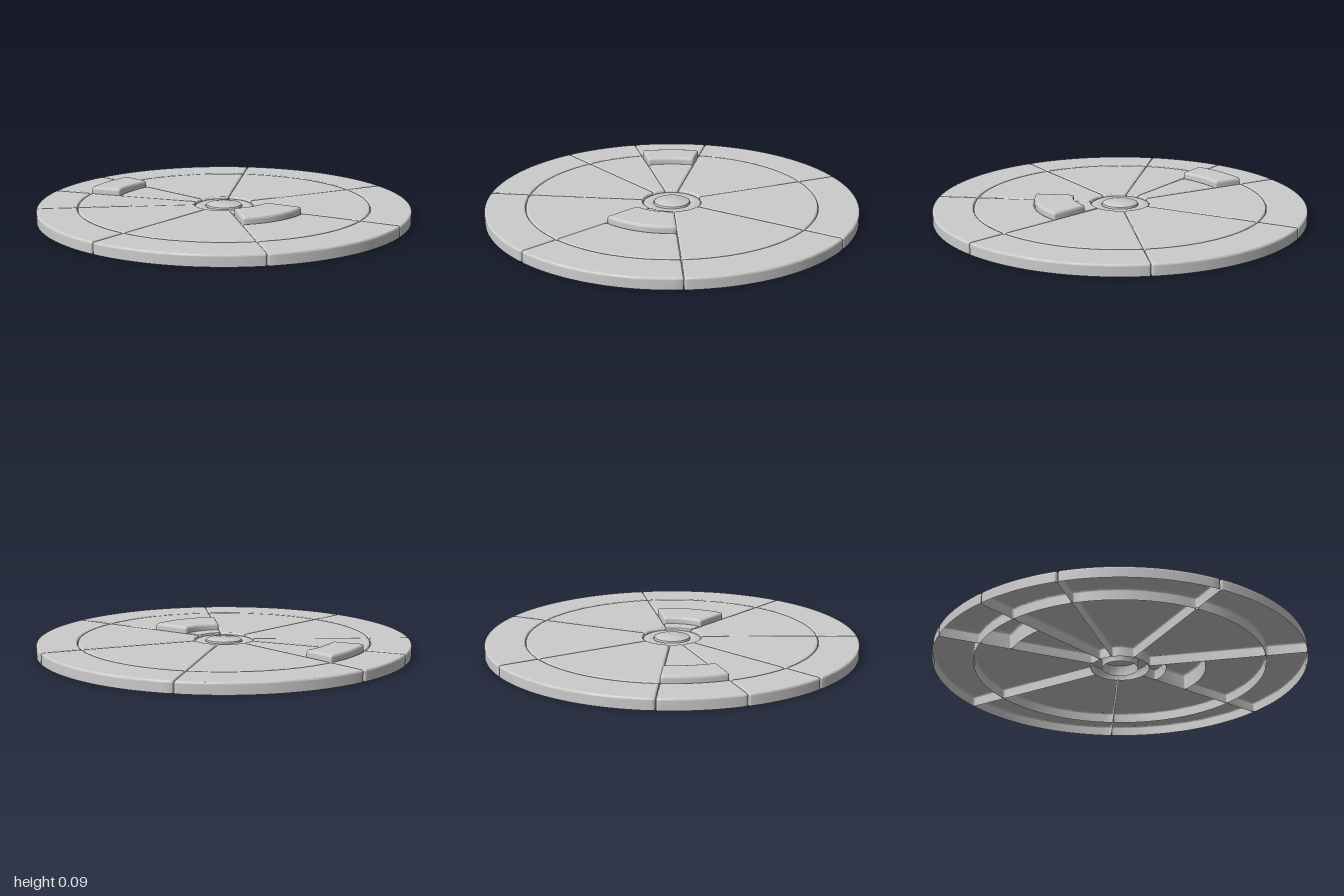
import * as THREE from 'three';
import { mergeGeometries, toCreasedNormals } from 'three/addons/utils/BufferGeometryUtils.js';

const material = new THREE.MeshStandardMaterial({ color: 0xcccccc, side: THREE.DoubleSide });
const GAP = 0.001;
const TOP = 0.06;
const RAISED = 0.095;
const HUB = 0.157;
const RIM = 0.782;

const polar = (r, a) => new THREE.Vector2(r * Math.cos(a), r * Math.sin(a));

// Counter-clockwise outline of a ring sector with rounded corners, moved inwards by `inset`
function sectorOutline(r0, r1, a0, a1, inset, c) {
  const inner = r0 + inset, outer = r1 - inset;
  const start = r => polar(r, a0 + Math.asin(inset / r));
  const end = r => polar(r, a1 - Math.asin(inset / r));
  const points = [];
  const corner = (p, q, s) => points.push(...new THREE.QuadraticBezierCurve(p, q, s).getPoints(4));
  const arc = (r, from, to) => {
    for (let i = 1; i < 24; i++) points.push(polar(r, from + (to - from) * i / 24));
  };
  const so = a0 + Math.asin(inset / outer) + c / outer, eo = a1 - Math.asin(inset / outer) - c / outer;
  const si = a0 + Math.asin(inset / inner) + c / inner, ei = a1 - Math.asin(inset / inner) - c / inner;
  corner(start(outer - c), start(outer), polar(outer, so));
  arc(outer, so, eo);
  corner(polar(outer, eo), end(outer), end(outer - c));
  corner(end(inner + c), end(inner), polar(inner, ei));
  arc(inner, ei, si);
  corner(polar(inner, si), start(inner), start(inner + c));
  return points;
}

// Hollow tile, open underneath, with a rounded top edge
function tile(name, r0, r1, deg0, deg1, height = TOP, bevel = 0.009) {
  const a0 = THREE.MathUtils.degToRad(deg0), a1 = THREE.MathUtils.degToRad(deg1);
  const layers = [[0, 0], [height - bevel - 0.004, 0]];
  for (let i = 0; i <= 3; i++) {
    const t = i / 3 * Math.PI / 2;
    layers.push([height - bevel + bevel * Math.sin(t), bevel * (1 - Math.cos(t))]);
  }
  const positions = [], index = [];
  let outline;
  for (const [y, inset] of layers) {
    outline = sectorOutline(r0, r1, a0, a1, GAP + inset, 0.014 - inset * 0.7);
    for (const p of outline) positions.push(p.x, y, -p.y);
  }
  const n = outline.length;
  for (let k = 0; k < layers.length - 1; k++) {
    for (let i = 0; i < n; i++) {
      const a = k * n + i, b = k * n + (i + 1) % n;
      index.push(a, b, b + n, a, b + n, a + n);
    }
  }
  const walls = new THREE.BufferGeometry();
  walls.setAttribute('position', new THREE.Float32BufferAttribute(positions, 3));
  walls.setIndex(index);

  // Flat top face
  const cap = new THREE.ShapeGeometry(new THREE.Shape(outline));
  cap.rotateX(-Math.PI / 2).translate(0, height, 0);
  cap.deleteAttribute('uv');
  const mesh = new THREE.Mesh(
    mergeGeometries([toCreasedNormals(walls, 0.7), cap.toNonIndexed()]), material);
  mesh.name = name;
  return mesh;
}

function turned(name, profile) {
  const points = profile.map(([r, y]) => new THREE.Vector2(r, y));
  const mesh = new THREE.Mesh(toCreasedNormals(new THREE.LatheGeometry(points, 72), 0.5), material);
  mesh.name = name;
  return mesh;
}

export function createModel() {
  const model = new THREE.Group();
  model.name = 'segmentedDisc';

  // Sector boundaries in degrees, counter-clockwise seen from above
  const bounds = [-20, 35, 90, 115, 140, 185, 235, 285, 340];
  for (let i = 0; i < bounds.length - 1; i++) {
    const a = bounds[i], b = bounds[i + 1];
    model.add(tile('rimSegment', RIM, 1, a, b));
    if (a === 90) {
      // Narrow sector with a raised block at its outer end
      model.add(tile('innerSector', HUB, 0.61, a, b));
      model.add(tile('outerRaisedBlock', 0.61, RIM, a, b, RAISED, 0.013));
    } else if (a === 235) {
      // Sector with a raised block near the hub
      model.add(tile('hubSector', HUB, 0.248, a, b, TOP, 0.004));
      model.add(tile('innerRaisedBlock', 0.248, 0.46, a, b, RAISED, 0.013));
      model.add(tile('outerSector', 0.46, RIM, a, b));
    } else {
      model.add(tile('sector', HUB, RIM, a, b));
    }
  }

  // Hub: a slightly sunken ring around a round button
  model.add(turned('hubRing', [
    [0.155, 0], [0.155, 0.044], [0.153, 0.048], [0.149, 0.05],
    [0.103, 0.05], [0.099, 0.048], [0.097, 0.044], [0.097, 0]]));
  model.add(turned('hubButton', [
    [0.096, 0], [0.096, 0.052], [0.094, 0.057], [0.088, 0.06], [0, 0.06]]));
  return model;
}
